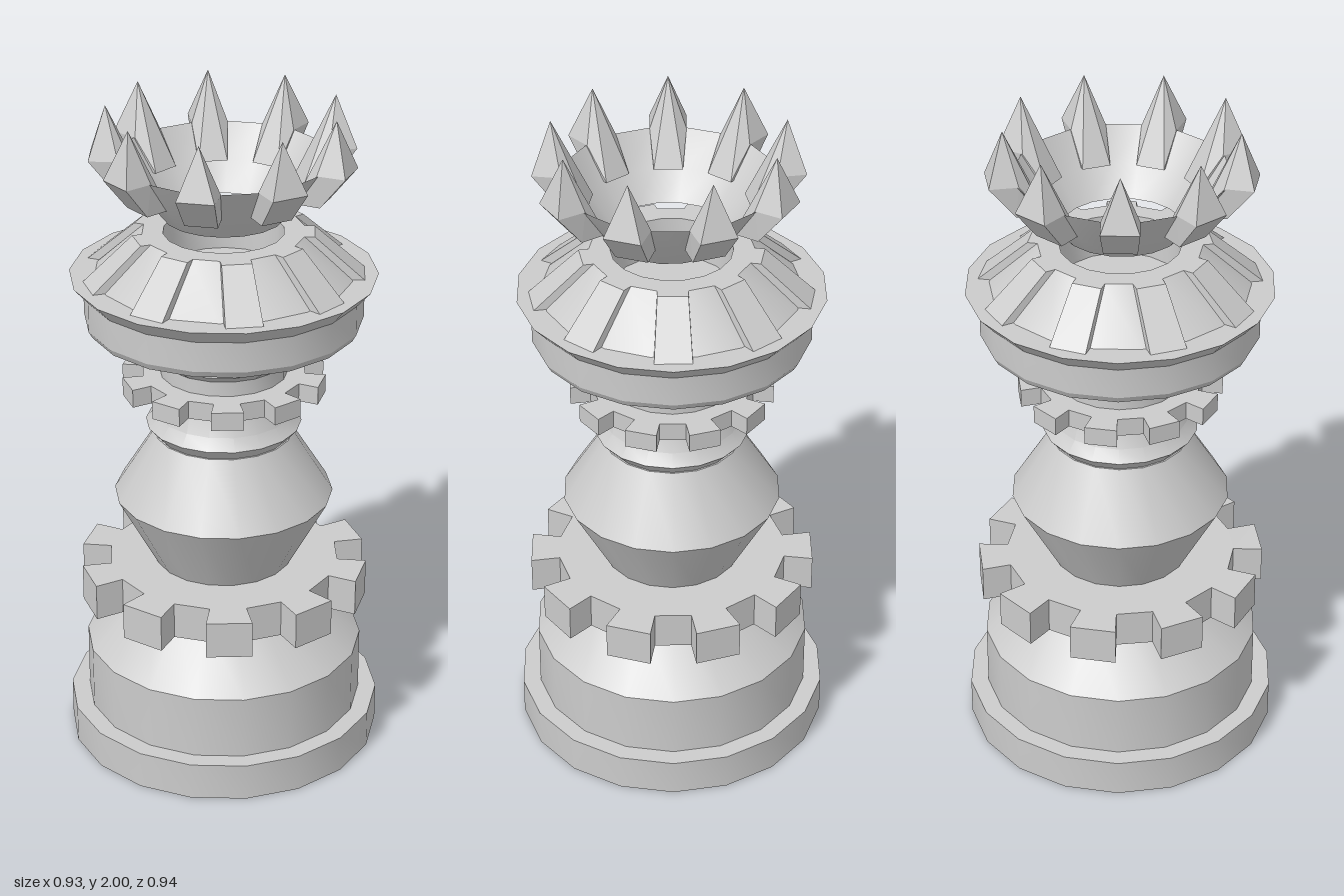
import * as THREE from 'three';
import { toCreasedNormals } from 'three/addons/utils/BufferGeometryUtils.js';
import { ConvexGeometry } from 'three/addons/geometries/ConvexGeometry.js';

const SIDES = 18;
const grey = new THREE.MeshStandardMaterial({ color: 0xcccccc });
const greyThin = new THREE.MeshStandardMaterial({ color: 0xcccccc, side: THREE.DoubleSide });

export function createModel() {
  const model = new THREE.Group();

  const add = (name, geometry, material = grey) => {
    const mesh = new THREE.Mesh(geometry, material);
    mesh.name = name;
    model.add(mesh);
    return mesh;
  };

  // Turned part from a [radius, height] profile, bottom to top
  const turned = (name, profile, material, phase = 0) => {
    const points = profile.map(([r, y]) => new THREE.Vector2(r, y));
    const lathe = new THREE.LatheGeometry(points, SIDES, phase);
    return add(name, toCreasedNormals(lathe, Math.PI / 7), material);
  };

  // Toothed ring with ten square teeth
  const gear = (name, inner, outer, y, height) => {
    const teeth = 10, half = Math.PI / 20, shape = new THREE.Shape();
    for (let i = 0; i < teeth; i++) {
      const a = THREE.MathUtils.degToRad(30 + 36 * i);
      [[inner, -half], [outer, -half], [outer, half], [inner, half]].forEach(([r, d], k) => {
        const x = r * Math.sin(a + d), v = -r * Math.cos(a + d);
        if (i + k === 0) shape.moveTo(x, v);
        else shape.lineTo(x, v);
      });
    }
    shape.closePath();
    const geometry = new THREE.ExtrudeGeometry(shape, { depth: height, bevelEnabled: false });
    geometry.rotateX(-Math.PI / 2).translate(0, y, 0);
    add(name, geometry);
  };

  // Nine copies of a convex block given as [radius, height, halfWidth] corners
  const ringOf = (name, corners, phase, z = 0) => {
    const group = new THREE.Group();
    group.name = name + 'Ring';
    const points = corners.flatMap(([r, y, w]) =>
      w ? [new THREE.Vector3(-w, y, r), new THREE.Vector3(w, y, r)] : [new THREE.Vector3(0, y, r)]);
    const geometry = new ConvexGeometry(points);
    for (let i = 0; i < 9; i++) {
      const mesh = new THREE.Mesh(geometry, grey);
      mesh.name = name;
      mesh.rotation.y = phase + (i * Math.PI * 2) / 9;
      group.add(mesh);
    }
    group.position.z = z;
    model.add(group);
  };

  // Stepped foot
  turned('base', [[0, 0], [0.472, 0], [0.472, 0.115], [0.418, 0.115], [0.418, 0.31],
    [0.26, 0.47], [0, 0.47]]);
  gear('lowerGear', 0.345, 0.432, 0.466, 0.112);

  // Double-cone body and collar
  turned('body', [[0, 0.575], [0.205, 0.575], [0.326, 0.8], [0.205, 0.995], [0, 0.995]]);
  turned('collar', [[0, 0.995], [0.2, 0.995], [0.23, 1.03], [0.202, 1.063], [0.178, 1.14], [0, 1.14]]);
  gear('upperGear', 0.24, 0.3, 1.135, 0.055);

  // Neck with two ridges
  turned('neck', [[0, 1.185], [0.188, 1.185], [0.188, 1.235], [0.237, 1.27], [0.208, 1.307],
    [0.235, 1.35], [0, 1.35]]);

  // Wide head with flared rim
  turned('head', [[0, 1.345], [0.395, 1.345], [0.406, 1.365], [0.406, 1.455], [0.446, 1.5], [0, 1.5]]);

  // Ribbed cone with a well in the middle
  turned('headCone', [[0.375, 1.5], [0.235, 1.627], [0.175, 1.627], [0.17, 1.505], [0, 1.505]],
    greyThin, Math.PI / SIDES);
  ringOf('rib', [[0.405, 1.5, 0.053], [0.34, 1.5, 0.053], [0.26, 1.627, 0.043], [0.22, 1.627, 0.043]], 0);

  // Floating open crown with nine spikes
  const crownZ = 0.008;
  turned('crownBowl', [[0.175, 1.677], [0.24, 1.757], [0.305, 1.852]], greyThin, Math.PI / SIDES)
    .position.z = crownZ;
  ringOf('crownSpike', [[0.225, 1.757, 0.042], [0.305, 1.757, 0.047], [0.38, 1.852, 0.054],
    [0.296, 1.852, 0.053], [0.333, 2, 0]], Math.PI, crownZ);

  return model;
}
